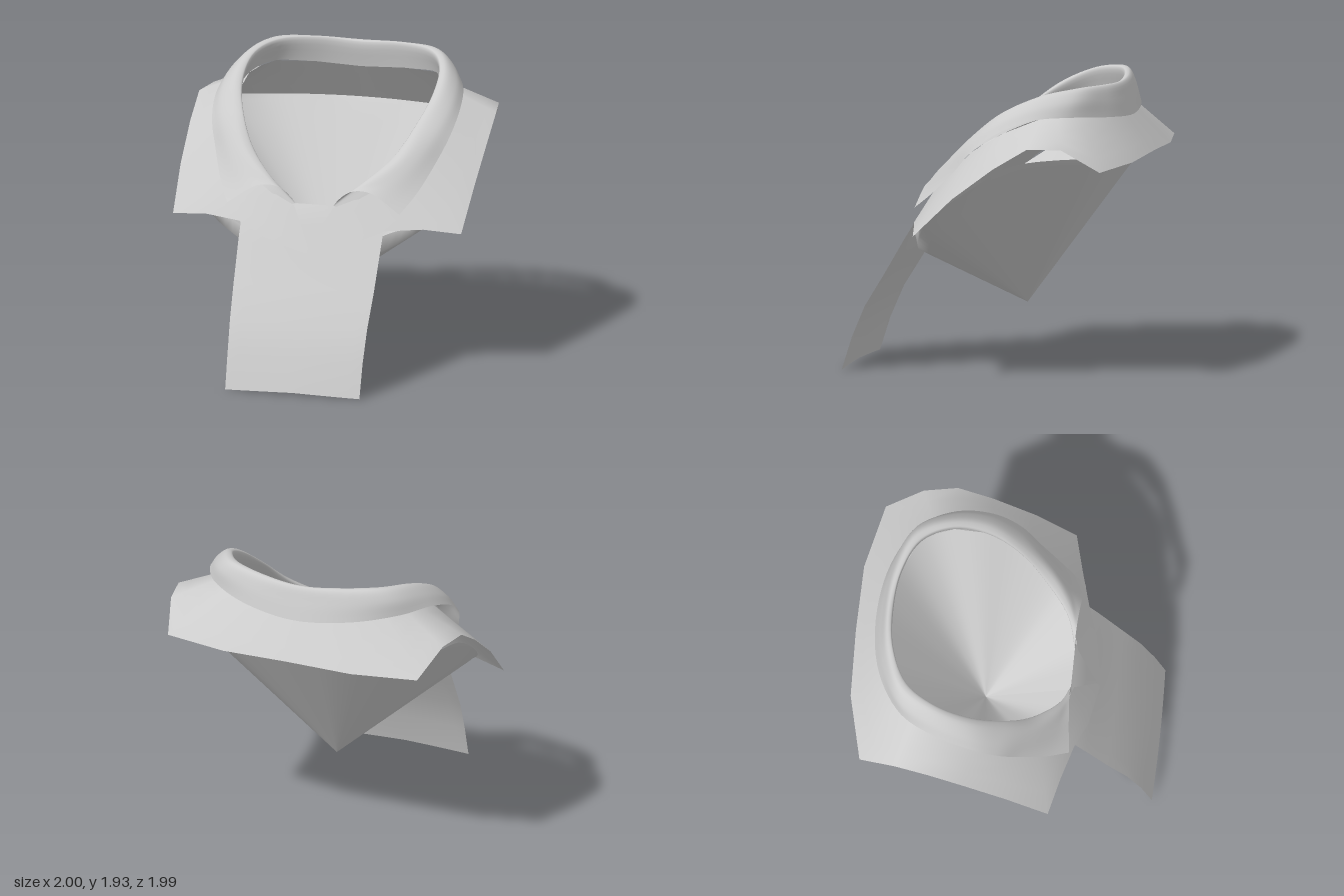
import * as THREE from 'three';

const cloth = new THREE.MeshStandardMaterial({ color: 0xcccccc, side: THREE.DoubleSide });
cloth.name = 'grey cloth';

const V = (p) => new THREE.Vector3(...p);

// Turn a half outline (front centre to back centre) into the full one, mirrored in x.
function mirrored(half) {
  const other = half.slice(0, -1).reverse().map(([x, y, z]) => [-x, y, z]);
  return [...half, ...other].map(V);
}

// Resample an outline with a smooth curve through its points.
function smooth(points, steps) {
  return new THREE.CatmullRomCurve3(points).getPoints(steps);
}

// Skin a sheet over a list of equally long cross-sections.
function sheet(name, rows) {
  const n = rows[0].length;
  const index = [];
  for (let r = 0; r < rows.length - 1; r++) {
    for (let i = 0; i < n - 1; i++) {
      const a = r * n + i, b = a + n;
      index.push(a, b, a + 1, a + 1, b, b + 1);
    }
  }
  const geometry = new THREE.BufferGeometry().setFromPoints(rows.flat());
  geometry.setIndex(index);
  geometry.computeVertexNormals();
  const mesh = new THREE.Mesh(geometry, cloth);
  mesh.name = name;
  return mesh;
}

const blend = (a, b, t) => a.map((p, i) => p.clone().lerp(b[i], t));

// Foot of the collar stand, where it meets the yoke
const standFoot = [[0.13, 1.1, 0.43], [0.33, 1.2, 0.38], [0.52, 1.33, 0.23], [0.63, 1.5, 0.05],
  [0.69, 1.64, -0.18], [0.66, 1.74, -0.42], [0.54, 1.77, -0.64], [0.3, 1.75, -0.75], [0, 1.73, -0.78]];

function makeCollar() {
  // Inner rim, outer rim, middle of the fall, and lower edge of the fall
  const innerRim = [[0.13, 1.13, 0.42], [0.3, 1.27, 0.36], [0.47, 1.42, 0.2], [0.58, 1.6, 0.03],
    [0.64, 1.76, -0.18], [0.62, 1.88, -0.42], [0.5, 1.92, -0.62], [0.27, 1.92, -0.73], [0, 1.9, -0.76]];
  const outerRim = [[0.24, 1.23, 0.42], [0.36, 1.3, 0.37], [0.52, 1.43, 0.23], [0.63, 1.61, 0.04],
    [0.69, 1.78, -0.18], [0.66, 1.89, -0.43], [0.54, 1.93, -0.65], [0.29, 1.92, -0.76], [0, 1.91, -0.79]];
  const fallMiddle = [[0.38, 1.235, 0.43], [0.5, 1.29, 0.35], [0.64, 1.43, 0.19], [0.73, 1.59, 0.02],
    [0.77, 1.73, -0.18], [0.73, 1.83, -0.43], [0.61, 1.86, -0.66], [0.34, 1.84, -0.79], [0, 1.82, -0.83]];
  const fallEdge = [[0.58, 1.11, 0.45], [0.66, 1.22, 0.31], [0.74, 1.38, 0.14], [0.8, 1.53, 0],
    [0.82, 1.66, -0.18], [0.78, 1.75, -0.42], [0.66, 1.76, -0.64], [0.38, 1.73, -0.81], [0, 1.7, -0.87]];
  const outlines = [standFoot, innerRim, outerRim, fallMiddle, fallEdge].map((h) => smooth(mirrored(h), 96));

  // Curve each strip from the stand over the fold to the edge
  const strips = outlines[0].map((_, i) => smooth(outlines.map((o) => o[i]), 20));
  return sheet('collar', strips);
}

function makeYoke() {
  // Neckline with a pointed front opening
  const s = standFoot;
  const neckline = [[0, 0.88, 0.578], [0.13, 1.12, 0.44], s[1], [0.43, 1.27, 0.31], s[2], s[3], s[4], s[5],
    [0.61, 1.76, -0.53], s[6], s[7], s[8]];
  const hem = [[0, 0.84, 0.6], [0.3, 0.92, 0.55], [0.49, 1.0, 0.478], [0.73, 1.01, 0.41], [0.97, 0.98, 0.35],
    [0.99, 1.24, 0.08], [1, 1.45, -0.2], [1, 1.59, -0.43], [0.96, 1.59, -0.65], [0.88, 1.44, -0.89],
    [0.45, 1.45, -0.99], [0, 1.46, -1]];
  const a = mirrored(neckline), b = mirrored(hem);
  return sheet('yoke', [0, 0.25, 0.5, 0.75, 1].map((t) => blend(a, b, t)));
}

function makeFrontFlap() {
  // Half width, height, depth and forward bulge of each row
  const rows = [[0.13, 1.13, 0.42, 0], [0.32, 1.07, 0.445, 0.02], [0.48, 1.0, 0.475, 0.03],
    [0.478, 0.88, 0.55, 0.018], [0.472, 0.64, 0.69, 0.012], [0.462, 0.43, 0.82, 0.01],
    [0.455, 0.22, 0.91, 0.01], [0.452, 0.005, 0.98, 0.01]];
  return sheet('frontFlap', rows.map(([w, y, z, bulge], r) => {
    const row = [];
    for (let i = -6; i <= 6; i++) {
      const u = i / 6;
      const lift = r === rows.length - 1 ? 0.012 * (1 - Math.abs(u)) - 0.005 : 0;
      row.push(new THREE.Vector3(u * w, y + lift, z + bulge * (1 - u * u)));
    }
    return row;
  }));
}

function makeLining() {
  // Upper rim under the yoke, widest outline, then straight down to the lowest point
  const top = [[0, 0.88, 0.56], [0.3, 0.9, 0.53], [0.55, 0.99, 0.43], [0.75, 1.03, 0.36], [0.9, 1.26, 0.03],
    [0.92, 1.46, -0.3], [0.86, 1.51, -0.62], [0.63, 1.49, -0.81], [0.3, 1.49, -0.88], [0, 1.49, -0.9]];
  const wide = [[0, 0.77, 0.52], [0.3, 0.79, 0.5], [0.55, 0.9, 0.43], [0.74, 1.02, 0.32], [0.87, 1.24, 0.02],
    [0.89, 1.42, -0.3], [0.83, 1.47, -0.62], [0.62, 1.46, -0.79], [0.3, 1.46, -0.86], [0, 1.46, -0.87]];
  const a = smooth(mirrored(top), 72), b = smooth(mirrored(wide), 72);
  const apex = b.map(() => new THREE.Vector3(0, 0.43, -0.15));
  const rows = [a];
  for (let k = 0; k <= 10; k++) rows.push(blend(b, apex, k / 10));
  return sheet('lining', rows);
}

export function createModel() {
  const group = new THREE.Group();
  group.name = 'shirtCollar';
  group.add(makeCollar(), makeYoke(), makeFrontFlap(), makeLining());
  return group;
}
